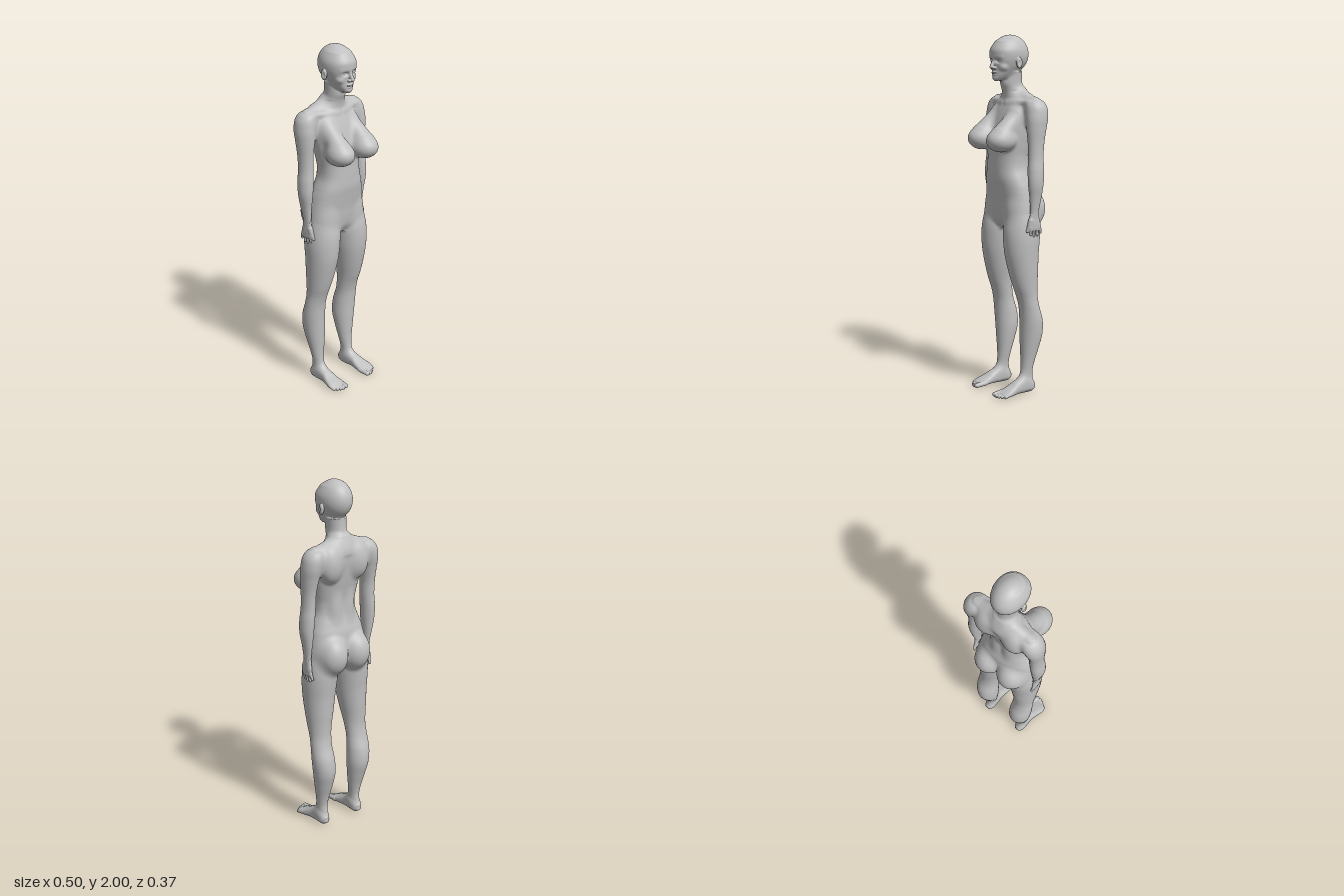
import * as THREE from 'three';

// ---- Distance-field helpers (negative inside). x is mirrored, so only the left half is described. ----

// Smooth union of two distances with blend width k
const blend = (a, b, k) => {
  const h = Math.max(k - Math.abs(a - b), 0) / k;
  return Math.min(a, b) - h * h * k * 0.25;
};
const carve = (a, b, k) => -blend(-a, b, k);

const ellipsoid = (cx, cy, cz, rx, ry, rz) => (x, y, z) => {
  const u = (x - cx) / rx, v = (y - cy) / ry, w = (z - cz) / rz;
  const q = Math.hypot(u, v, w);
  return Math.max(q * (q - 1) / (Math.hypot(u / rx, v / ry, w / rz) + 1e-6), -Math.min(rx, ry, rz));
};

// Round bar from a to b with a radius at each end
const bar = (a, b, ra, rb) => (x, y, z) => {
  const d = [b[0] - a[0], b[1] - a[1], b[2] - a[2]];
  const p = [x - a[0], y - a[1], z - a[2]];
  let t = (p[0] * d[0] + p[1] * d[1] + p[2] * d[2]) / (d[0] ** 2 + d[1] ** 2 + d[2] ** 2);
  t = Math.min(1, Math.max(0, t));
  return Math.hypot(p[0] - d[0] * t, p[1] - d[1] * t, p[2] - d[2] * t) - ra - (rb - ra) * t;
};

// Loft of rounded sections; each row is [height, xMin, xMax, zMin, zMax]
const loft = (rows, n = 2) => (x, y, z) => {
  const last = rows.length - 1;
  const yc = Math.min(rows[last][0], Math.max(rows[0][0], y));
  let i = 0;
  while (i < last - 1 && yc > rows[i + 1][0]) i++;
  const p = rows[Math.max(i - 1, 0)], a = rows[i], b = rows[i + 1], q = rows[Math.min(i + 2, last)];
  const s = b[0] - a[0], t = (yc - a[0]) / s, t2 = t * t, t3 = t2 * t;
  const at = (k) => {
    const m0 = (b[k] - p[k]) / (b[0] - p[0]) * s, m1 = (q[k] - a[k]) / (q[0] - a[0]) * s;
    return (2 * t3 - 3 * t2 + 1) * a[k] + (t3 - 2 * t2 + t) * m0 + (3 * t2 - 2 * t3) * b[k] + (t3 - t2) * m1;
  };
  const x0 = at(1), x1 = at(2), z0 = at(3), z1 = at(4);
  const rx = (x1 - x0) / 2, rz = (z1 - z0) / 2;
  const u = Math.abs(x - x0 - rx) / rx, v = Math.abs(z - z0 - rz) / rz;
  const r = Math.pow(u ** n + v ** n, 1 / n) + 1e-6;
  const g = Math.hypot(u ** (n - 1) / rx, v ** (n - 1) / rz) * r ** (1 - n) + 1e-6;
  const d = Math.max((r - 1) / g, -Math.min(rx, rz));
  const e = Math.max(rows[0][0] - y, y - rows[last][0]);
  return e > 0 ? Math.hypot(Math.max(d, 0), e) : Math.max(d, e);
};
const centred = (rows, n) => loft(rows.map(([y, w, b, f]) => [y, -w, w, b, f]), n);

// ---- Body parts ----
const torso = centred([
  [0.94, 0.03, -0.07, 0.03], [0.98, 0.11, -0.11, 0.055], [1.03, 0.16, -0.125, 0.066], [1.1, 0.172, -0.13, 0.073],
  [1.17, 0.163, -0.125, 0.083], [1.22, 0.148, -0.112, 0.09], [1.28, 0.128, -0.098, 0.09], [1.34, 0.126, -0.095, 0.088],
  [1.4, 0.135, -0.105, 0.088], [1.46, 0.144, -0.117, 0.08], [1.52, 0.15, -0.127, 0.063], [1.58, 0.152, -0.135, 0.043],
  [1.63, 0.135, -0.135, 0.023], [1.66, 0.1, -0.125, 0.01], [1.7, 0.045, -0.1, 0]], 2.4);
const neck = centred([[1.62, 0.07, -0.13, 0], [1.66, 0.062, -0.122, 0.01], [1.7, 0.056, -0.106, 0.022],
  [1.74, 0.052, -0.092, 0.036], [1.8, 0.055, -0.088, 0.03]]);
const arm = loft([
  [1.01, 0.19, 0.219, -0.068, -0.014], [1.05, 0.187, 0.222, -0.068, -0.015], [1.12, 0.183, 0.233, -0.08, -0.01],
  [1.2, 0.175, 0.247, -0.09, 0], [1.27, 0.17, 0.247, -0.095, 0], [1.34, 0.165, 0.24, -0.095, -0.005],
  [1.42, 0.163, 0.24, -0.1, -0.005], [1.5, 0.15, 0.245, -0.115, 0], [1.56, 0.14, 0.246, -0.128, 0],
  [1.61, 0.13, 0.235, -0.128, -0.008], [1.645, 0.14, 0.205, -0.11, -0.025], [1.657, 0.16, 0.185, -0.08, -0.05]]);
const leg = loft([
  [0.03, 0.095, 0.143, -0.092, 0], [0.07, 0.09, 0.147, -0.092, 0.005], [0.12, 0.088, 0.148, -0.088, -0.015],
  [0.18, 0.078, 0.157, -0.1, -0.02], [0.26, 0.066, 0.172, -0.125, -0.018], [0.34, 0.058, 0.185, -0.146, -0.015],
  [0.42, 0.06, 0.192, -0.142, -0.012], [0.5, 0.065, 0.19, -0.118, -0.005], [0.56, 0.062, 0.187, -0.108, 0.01],
  [0.62, 0.055, 0.19, -0.108, 0.032], [0.7, 0.04, 0.196, -0.113, 0.055], [0.8, 0.024, 0.202, -0.118, 0.076],
  [0.88, 0.014, 0.205, -0.126, 0.082], [0.94, 0.009, 0.202, -0.13, 0.08], [1, 0.012, 0.193, -0.125, 0.07],
  [1.08, 0.03, 0.172, -0.11, 0.058], [1.14, 0.06, 0.145, -0.085, 0.035]]);

// Muscles and soft forms: [distance, blend width]
const forms = [
  [neck, 0.03],
  [bar([0.03, 1.675, -0.07], [0.18, 1.613, -0.065], 0.036, 0.045), 0.03], // shoulder slope
  [bar([0.02, 1.632, 0.008], [0.16, 1.642, -0.03], 0.011, 0.011), 0.02], // collar bone
  [ellipsoid(0.088, 1.565, -0.1, 0.068, 0.1, 0.053), 0.025], // shoulder blade
  [ellipsoid(0.04, 1.3, -0.068, 0.042, 0.15, 0.038), 0.02], // lower back
  [bar([0.088, 1.565, 0.005], [0.092, 1.465, 0.092], 0.04, 0.06), 0.03], // upper breast
  [ellipsoid(0.092, 1.437, 0.1, 0.073, 0.064, 0.086), 0.02], // breast
];
const buttock = ellipsoid(0.077, 1.045, -0.1, 0.084, 0.108, 0.088);

// Foot lofted from heel to ball, with five toes
const footLoft = loft([
  [-0.1, 0.103, 0.135, 0.015, 0.05], [-0.08, 0.092, 0.146, 0.003, 0.068], [-0.03, 0.089, 0.15, 0.001, 0.088],
  [0.02, 0.086, 0.157, 0.003, 0.077], [0.06, 0.081, 0.168, 0.002, 0.055], [0.1, 0.08, 0.176, 0.002, 0.037],
  [0.125, 0.086, 0.168, 0.003, 0.024]], 2.4);
const toes = [[0.093, 0.146, 0.0135], [0.114, 0.149, 0.0095], [0.131, 0.143, 0.009], [0.147, 0.133, 0.009], [0.163, 0.12, 0.0085]]
  .map(([x, tip, r]) => bar([x - 0.004, 0.02, 0.09], [x, r + 0.001, tip], r, r));

// Head and face
const skull = ellipsoid(0, 1.895, -0.02, 0.086, 0.105, 0.108);
const face = centred([
  [1.755, 0.02, 0.035, 0.078], [1.77, 0.036, 0, 0.086], [1.8, 0.055, -0.03, 0.085], [1.84, 0.069, -0.05, 0.084],
  [1.88, 0.078, -0.06, 0.088], [1.92, 0.078, -0.07, 0.089], [1.96, 0.055, -0.06, 0.06]], 2.3);
const features = [
  [ellipsoid(0.045, 1.828, 0.052, 0.02, 0.018, 0.022), 0.015], // cheek
  [bar([0.01, 1.886, 0.08], [0.05, 1.884, 0.064], 0.009, 0.008), 0.015], // brow
  [bar([0, 1.87, 0.084], [0, 1.829, 0.102], 0.007, 0.0105), 0.01], // nose
  [ellipsoid(0.012, 1.824, 0.09, 0.009, 0.008, 0.011), 0.006], // nostril
  [ellipsoid(0, 1.798, 0.083, 0.024, 0.006, 0.011), 0.004], // upper lip
  [ellipsoid(0, 1.786, 0.081, 0.02, 0.007, 0.011), 0.004], // lower lip
  [ellipsoid(0, 1.768, 0.074, 0.018, 0.013, 0.014), 0.012], // chin
];
const socket = ellipsoid(0.034, 1.861, 0.088, 0.02, 0.012, 0.017);
const eye = ellipsoid(0.034, 1.861, 0.063, 0.016, 0.011, 0.0135);
const ear = ellipsoid(0.09, 1.85, -0.02, 0.011, 0.03, 0.018);
const earHollow = ellipsoid(0.103, 1.852, -0.014, 0.008, 0.017, 0.009);

function headField(x, y, z) {
  let d = blend(skull(x, y, z), face(x, y, z), 0.025);
  d = carve(d, socket(x, y, z), 0.012);
  for (const [f, k] of features) d = blend(d, f(x, y, z), k);
  d = blend(d, eye(x, y, z), 0.003);
  return blend(d, carve(ear(x, y, z), earHollow(x, y, z), 0.006), 0.006);
}

function bodyField(sx, y, z) {
  const x = Math.abs(sx);
  let d = leg(x, y, z);
  if (y < 0.25) {
    d = blend(d, footLoft(x, z, y), 0.025);
    for (const toe of toes) d = blend(d, toe(x, y, z), 0.006);
  }
  if (y > 0.75) {
    d = blend(d, torso(x, y, z), 0.03);
    d = blend(d, buttock(x, y, z), 0.03);
  }
  if (y > 1.05) for (const [f, k] of forms) d = blend(d, f(x, y, z), k);
  // The arm melts into the shoulder but stays separate lower down
  if (y > 0.9) d = blend(d, arm(x, y, z), 0.004 + 0.026 * THREE.MathUtils.smoothstep(y, 1.44, 1.54));
  if (y > 1.6) d = blend(d, headField(x, y, z), 0.02);
  return d;
}

// Palm, four fingers and thumb
const palm = loft([[0.945, 0.197, 0.215, -0.08, -0.008], [0.975, 0.193, 0.219, -0.081, -0.004],
  [1.01, 0.19, 0.219, -0.072, -0.01], [1.04, 0.189, 0.22, -0.067, -0.016]], 2.3);
const fingers = [[-0.016, 0.922], [-0.035, 0.914], [-0.055, 0.917], [-0.074, 0.93]]
  .map(([z, tip]) => bar([0.207, 0.96, z], [0.202, tip, z * 1.12], 0.0095, 0.0075));
const thumb = bar([0.205, 1, -0.016], [0.198, 0.942, 0.002], 0.012, 0.0075);
function handField(sx, y, z) {
  const x = Math.abs(sx);
  let d = palm(x, y, z);
  for (const f of fingers) d = blend(d, f(x, y, z), 0.005);
  return blend(d, thumb(x, y, z), 0.012);
}

// ---- Smooth surface of a field inside a box, on a grid of step h ----
function surface(field, min, max, h) {
  const n = min.map((m, i) => Math.ceil((max[i] - m) / h) + 1);
  const step = [1, n[0], n[0] * n[1]];
  const val = new Float32Array(n[0] * n[1] * n[2]);
  const cell = new Int32Array(val.length).fill(-1);
  const pos = [], nor = [], idx = [];
  const each = (less, fn) => {
    for (let k = 0; k < n[2] - less; k++) for (let j = 0; j < n[1] - less; j++)
      for (let i = 0; i < n[0] - less; i++) fn([i, j, k], i + j * step[1] + k * step[2]);
  };
  each(0, (c, o) => { val[o] = field(min[0] + c[0] * h, min[1] + c[1] * h, min[2] + c[2] * h); });
  const corner = [0, 1, 2, 3, 4, 5, 6, 7].map((b) => (b & 1) + (b >> 1 & 1) * step[1] + (b >> 2) * step[2]);
  const e = 0.001;
  const slope = ([x, y, z]) => [field(x + e, y, z) - field(x - e, y, z), field(x, y + e, z) - field(x, y - e, z),
    field(x, y, z + e) - field(x, y, z - e)].map((v) => v / (2 * e));
  // One point per crossed cell, pulled onto the surface
  each(1, (c, o) => {
    const sum = [0, 0, 0];
    let count = 0;
    for (let b = 0; b < 8; b++) for (let a = 0; a < 3; a++) {
      if (b >> a & 1) continue;
      const v0 = val[o + corner[b]], v1 = val[o + corner[b | 1 << a]];
      if ((v0 < 0) === (v1 < 0)) continue;
      for (let m = 0; m < 3; m++) sum[m] += (b >> m & 1) + (m === a ? v0 / (v0 - v1) : 0);
      count++;
    }
    if (!count) return;
    let p = sum.map((s, m) => min[m] + (c[m] + s / count) * h);
    let g = slope(p);
    const move = -field(...p) / (g[0] ** 2 + g[1] ** 2 + g[2] ** 2 + 1e-6);
    p = p.map((v, m) => v + Math.max(-h / 2, Math.min(h / 2, move * g[m])));
    g = slope(p);
    const len = Math.hypot(...g) || 1;
    cell[o] = pos.length / 3;
    pos.push(...p);
    nor.push(g[0] / len, g[1] / len, g[2] / len);
  });
  // One quad around each crossed grid edge
  each(1, (c, o) => {
    for (let a = 0; a < 3; a++) {
      const b = (a + 1) % 3, d = (a + 2) % 3, inside = val[o] < 0;
      if (!c[b] || !c[d] || inside === (val[o + step[a]] < 0)) continue;
      const q = [o - step[b] - step[d], o - step[d], o, o - step[b]].map((i) => cell[i]);
      if (!inside) q.reverse();
      idx.push(q[0], q[1], q[2], q[0], q[2], q[3]);
    }
  });
  const geo = new THREE.BufferGeometry();
  geo.setAttribute('position', new THREE.Float32BufferAttribute(pos, 3));
  geo.setAttribute('normal', new THREE.Float32BufferAttribute(nor, 3));
  geo.setIndex(idx);
  return geo;
}

export function createModel() {
  const model = new THREE.Group();
  model.name = 'standingFigure';
  const clay = new THREE.MeshStandardMaterial({ color: 0xc0c0c0 });
  clay.name = 'grey clay';
  const add = (name, field, min, max, h) => {
    const mesh = new THREE.Mesh(surface(field, min, max, h), clay);
    mesh.name = name;
    model.add(mesh);
  };
  add('head', bodyField, [-0.1205, 1.715, -0.16], [0.12, 2.02, 0.14], 0.005);
  add('torsoAndArms', bodyField, [-0.2835, 0.86, -0.22], [0.28, 1.73, 0.22], 0.009);
  add('legs', bodyField, [-0.2385, 0.1, -0.18], [0.238, 0.88, 0.12], 0.009);
  add('feet', bodyField, [-0.2005, -0.012, -0.13], [0.2, 0.115, 0.18], 0.005);
  add('hands', handField, [-0.2405, 0.89, -0.11], [0.24, 1.055, 0.03], 0.0045);
  return model;
}
